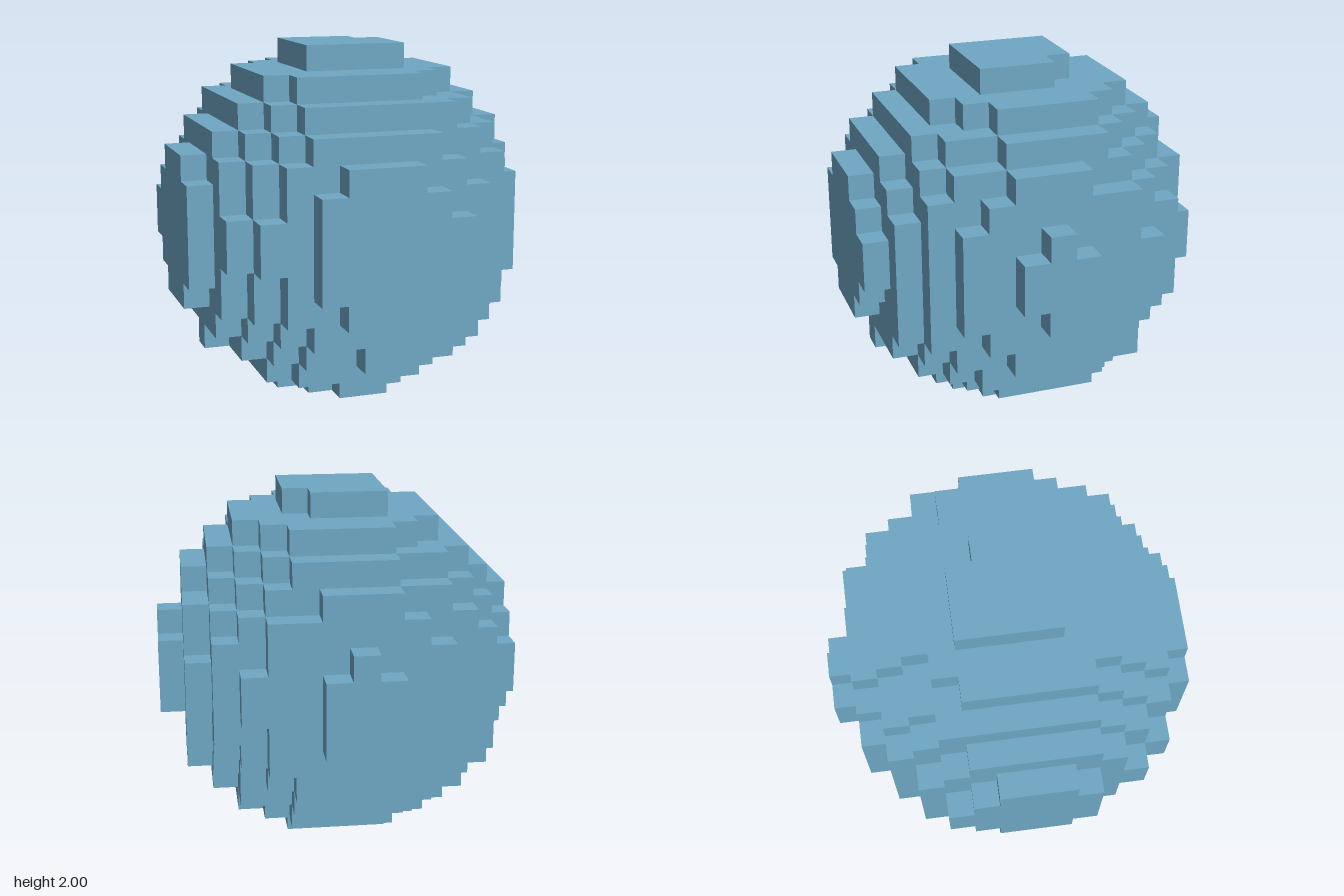
import * as THREE from 'three';
import { mergeGeometries } from 'three/addons/utils/BufferGeometryUtils.js';

const N = 14;                 // cells along each side
const CELL = 2 / N;
const CENTRE = [6.28, 6.45, 6.72]; // ball centre in cell units, slightly off the grid middle
const RADIUS_SQ = 47.82;

// A cell belongs to the ball when its centre lies inside the sphere.
const filled = (i, j, k) =>
  (i - CENTRE[0]) ** 2 + (j - CENTRE[1]) ** 2 + (k - CENTRE[2]) ** 2 <= RADIUS_SQ;

// Unit cell sides, each pushed out from the cell centre along its direction.
const side = (dir, rotate) => {
  const geometry = new THREE.PlaneGeometry(CELL, CELL);
  rotate(geometry);
  geometry.translate(...dir.map((d) => (d * CELL) / 2));
  return { dir, geometry };
};
const SIDES = [
  side([1, 0, 0], (g) => g.rotateY(Math.PI / 2)),
  side([-1, 0, 0], (g) => g.rotateY(-Math.PI / 2)),
  side([0, 1, 0], (g) => g.rotateX(-Math.PI / 2)),
  side([0, -1, 0], (g) => g.rotateX(Math.PI / 2)),
  side([0, 0, 1], () => {}),
  side([0, 0, -1], (g) => g.rotateY(Math.PI)),
];

// Stepped shell: only the cell sides that face empty space.
function steppedBallGeometry() {
  const faces = [];
  for (let i = 0; i < N; i++)
    for (let j = 0; j < N; j++)
      for (let k = 0; k < N; k++) {
        if (!filled(i, j, k)) continue;
        for (const { dir, geometry } of SIDES) {
          if (filled(i + dir[0], j + dir[1], k + dir[2])) continue;
          faces.push(geometry.clone().translate(
            (i + 0.5) * CELL - 1, (j + 0.5) * CELL, (k + 0.5) * CELL - 1));
        }
      }
  return mergeGeometries(faces);
}

export function createModel() {
  const model = new THREE.Group();
  model.name = 'blockBall';

  const blue = new THREE.MeshStandardMaterial({ color: 0x6fa8c4 });
  blue.name = 'soft blue';

  const ball = new THREE.Mesh(steppedBallGeometry(), blue);
  ball.name = 'steppedBall';
  model.add(ball);
  return model;
}
